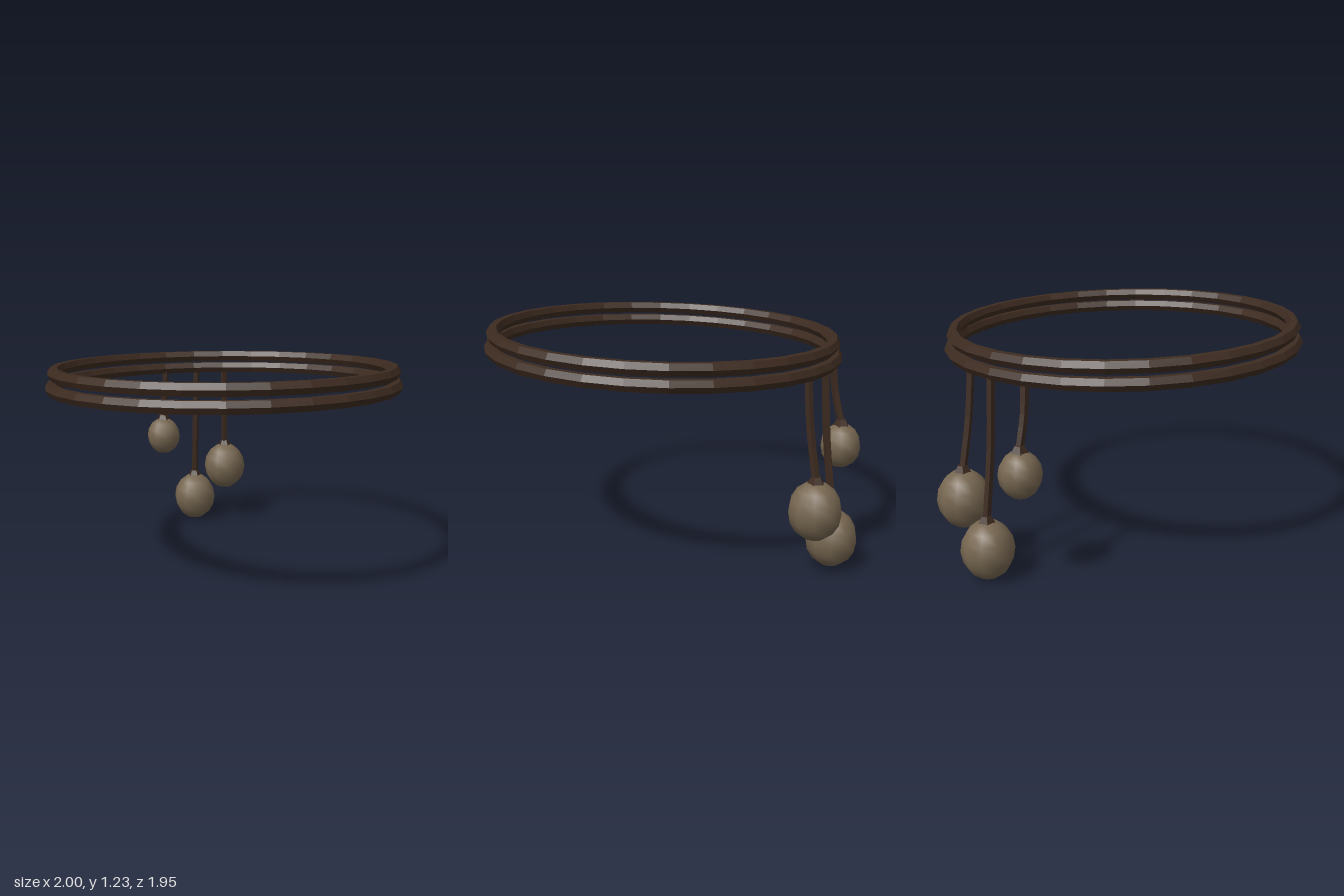
import * as THREE from 'three';

export function createModel() {
  const model = new THREE.Group();
  const bark = new THREE.MeshStandardMaterial({ color: 0x3d2b20, flatShading: true });
  const husk = new THREE.MeshStandardMaterial({ color: 0x766650 });

  function add(parent, name, geometry, material) {
    const mesh = new THREE.Mesh(geometry, material);
    mesh.name = name;
    parent.add(mesh);
    return mesh;
  }

  // Two stacked, slightly tilted hoops
  for (const [name, radius, y, tiltZ] of [['upperRing', 0.93, 1.17, 0.021], ['lowerRing', 0.945, 1.093, 0.018]]) {
    const geometry = new THREE.TorusGeometry(radius, 0.036, 6, 30);
    geometry.rotateX(-Math.PI / 2).rotateZ(0.026).rotateX(-tiltZ);
    add(model, name, geometry, bark).position.set(0.016, y, 0.003);
  }

  // Hanging pods: stem start, pod centre, pod radius, pod half height
  const pods = [
    [[-0.835, 1.07, -0.385], [-0.89, 0.606, -0.41], 0.109, 0.121],
    [[-0.735, 1.07, -0.57], [-0.795, 0.162, -0.61], 0.138, 0.157],
    [[-0.605, 1.07, -0.703], [-0.652, 0.375, -0.76], 0.138, 0.155],
  ];
  for (const [start, centre, radius, half] of pods) {
    const pendant = new THREE.Group();
    pendant.name = 'pendant';
    model.add(pendant);
    const top = new THREE.Vector3(...start);
    const middle = new THREE.Vector3(...centre);
    const end = middle.clone().setY(middle.y + half);

    // Stem bows gently outward towards the pod
    const bend = top.clone().lerp(end, 0.5);
    bend.x += 0.008;
    bend.z += 0.008;
    const path = new THREE.CatmullRomCurve3([top, bend, end]);
    add(pendant, 'stem', new THREE.TubeGeometry(path, 6, 0.021, 5), bark);

    // Flared cap where the stem meets the pod
    add(pendant, 'cap', new THREE.CylinderGeometry(0.025, 0.05, 0.045, 5), bark)
      .position.set(end.x, end.y + 0.002, end.z);

    // Egg-shaped pod
    const pod = add(pendant, 'pod', new THREE.SphereGeometry(1, 10, 8), husk);
    pod.scale.set(radius, half, radius);
    pod.position.copy(middle);
  }
  return model;
}
